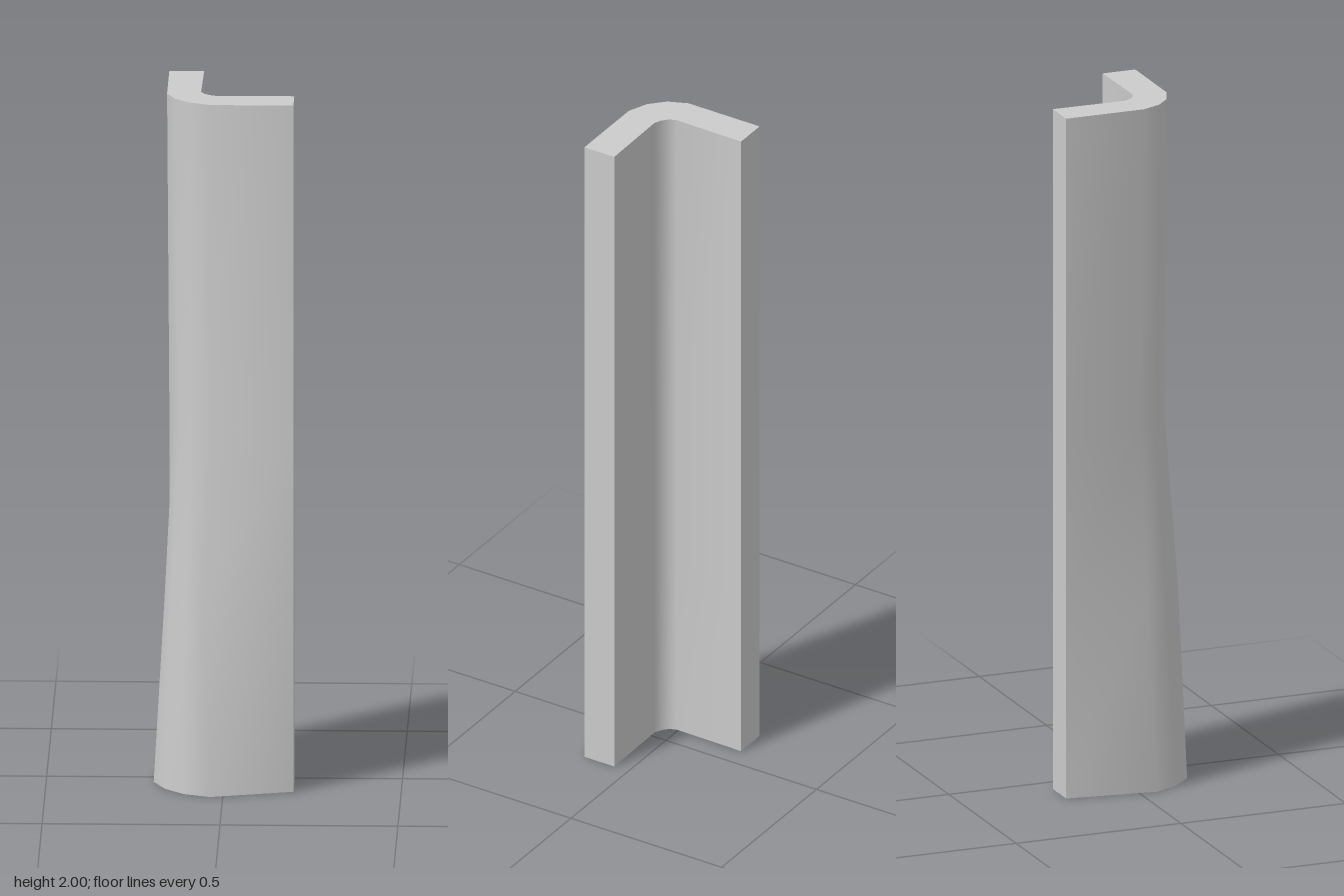
import * as THREE from 'three';
import { toCreasedNormals } from 'three/addons/utils/BufferGeometryUtils.js';

// Outer corner bend [x, z] at each height: flared foot, slight waist, straight top
const RINGS = [
  { y: 0, bend: [[-0.198, 0.05], [-0.166, 0.122], [-0.11, 0.178], [-0.036, 0.207]] },
  { y: 0.55, bend: [[-0.167, 0.034], [-0.147, 0.099], [-0.112, 0.147], [-0.057, 0.172]] },
  { y: 1.05, bend: [[-0.142, 0.022], [-0.126, 0.075], [-0.09, 0.115], [-0.04, 0.139]] },
  { y: 2, bend: [[-0.161, 0.026], [-0.137, 0.082], [-0.095, 0.122], [-0.037, 0.146]] },
];
// Fixed points: back end, then right end and rounded inner corner
const BACK_END = [-0.161, -0.21];
const INNER = [
  [0.197, 0.146], [0.197, 0.047], [-0.02, 0.05], [-0.04, 0.041],
  [-0.057, 0.026], [-0.066, 0.006], [-0.063, -0.21],
];

function lGeometry() {
  const loops = RINGS.map(r => [BACK_END, ...r.bend, ...INNER]);
  const n = loops[0].length;
  const positions = [];
  const indices = [];
  loops.forEach((loop, k) => loop.forEach(([x, z]) => positions.push(x, RINGS[k].y, z)));

  // Walls between neighbouring cross-sections
  for (let k = 0; k < loops.length - 1; k++) {
    for (let i = 0; i < n; i++) {
      const a = k * n + i, b = k * n + (i + 1) % n;
      indices.push(a, b, b + n, a, b + n, a + n);
    }
  }

  // Flat caps at the foot and the top
  const cap = (k, flip) => {
    const outline = loops[k].map(([x, z]) => new THREE.Vector2(x, -z));
    for (const [a, b, c] of THREE.ShapeUtils.triangulateShape(outline, [])) {
      const o = k * n;
      indices.push(o + a, o + (flip ? c : b), o + (flip ? b : c));
    }
  };
  cap(0, true);
  cap(loops.length - 1, false);

  const geometry = new THREE.BufferGeometry();
  geometry.setAttribute('position', new THREE.Float32BufferAttribute(positions, 3));
  geometry.setIndex(indices);
  return toCreasedNormals(geometry, Math.PI / 4);
}

export function createModel() {
  const group = new THREE.Group();
  group.name = 'cornerPost';
  const post = new THREE.Mesh(lGeometry(), new THREE.MeshStandardMaterial({ color: 0xcccccc }));
  post.name = 'angledPost';
  group.add(post);
  return group;
}
